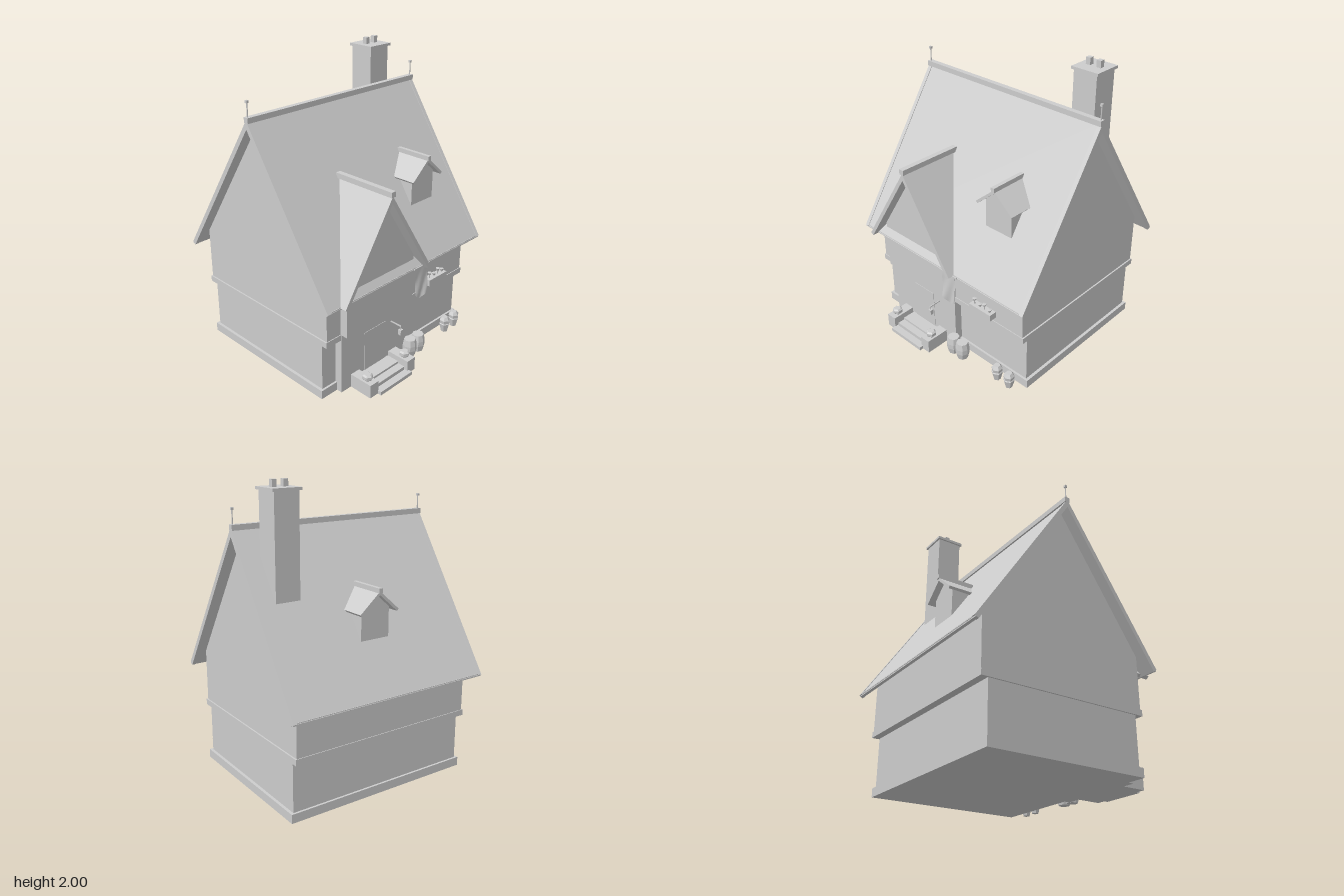
import * as THREE from 'three';

export function createModel() {
  const house = new THREE.Group();
  house.name = 'cottage';
  const grey = new THREE.MeshStandardMaterial({ color: 0xcccccc });
  grey.name = 'plain grey';
  const cloth = new THREE.MeshStandardMaterial({ color: 0xcccccc, side: THREE.DoubleSide });
  cloth.name = 'plain grey cloth';
  const RIDGE_Z = -0.055;

  const add = (name, geo, parent = house, mat = grey) => {
    const m = new THREE.Mesh(geo, mat);
    m.name = name;
    parent.add(m);
    return m;
  };
  // box given by its limits
  const box = (name, x0, x1, y0, y1, z0, z1, parent) =>
    add(name, new THREE.BoxGeometry(x1 - x0, y1 - y0, z1 - z0)
      .translate((x0 + x1) / 2, (y0 + y1) / 2, (z0 + z1) / 2), parent);
  // outline in x,y pushed from z0 to z1
  const prism = (name, pts, z0, z1, parent) => {
    const shape = new THREE.Shape(pts.map(p => new THREE.Vector2(p[0], p[1])));
    return add(name, new THREE.ExtrudeGeometry(shape, { depth: z1 - z0, bevelEnabled: false })
      .translate(0, 0, z0), parent);
  };
  // gable roof cross-section
  const chevron = (w, eave, apex, thick) => {
    const slope = (apex - eave) / w, a = Math.atan(slope);
    const ix = w - thick * Math.sin(a), iy = eave - thick * Math.cos(a);
    const inner = iy + slope * ix;
    return [[w, eave], [0, apex], [-w, eave], [-ix, iy], [0, inner], [ix, iy]];
  };
  const gable = (w, y0, y1, apex) => [[-w, y0], [w, y0], [w, y1], [0, apex], [-w, y1]];
  const lathe = (name, pts, sides, x, y, z, parent) => {
    const geo = new THREE.LatheGeometry(pts.map(p => new THREE.Vector2(p[0], p[1])), sides).toNonIndexed();
    geo.computeVertexNormals();
    const m = add(name, geo, parent);
    m.position.set(x, y, z);
    return m;
  };

  // main walls, centred on the ridge
  box('plinth', -0.68, 0.68, 0, 0.06, -0.605, 0.495);
  box('groundFloorWalls', -0.66, 0.66, 0.06, 0.39, -0.59, 0.48);
  box('floorBand', -0.67, 0.67, 0.39, 0.43, -0.64, 0.53);
  const main = new THREE.Group();
  main.name = 'mainUpperHouse';
  main.rotation.y = Math.PI / 2;
  main.position.z = RIDGE_Z;
  house.add(main);
  prism('upperWalls', gable(0.58, 0.43, 0.79, 1.67), -0.66, 0.66, main);

  // main roof with barge boards, eave boards, ridge and finials
  prism('mainRoof', chevron(0.67, 0.692, 1.705, 0.024), -0.71, 0.71, main);
  for (const s of [-1, 1]) {
    const x = s * 0.723;
    prism('bargeBoard', chevron(0.673, 0.694, 1.712, 0.03), x - 0.014, x + 0.014, main);
    box('eaveBoard', -0.737, 0.737, 0.683, 0.7,
      RIDGE_Z + s * 0.66 - 0.008, RIDGE_Z + s * 0.66 + 0.008);
    add('finialRod', new THREE.CylinderGeometry(0.004, 0.004, 0.1, 6)).position.set(x, 1.77, RIDGE_Z);
    add('finialKnob', new THREE.BoxGeometry(0.016, 0.016, 0.016)).position.set(x, 1.823, RIDGE_Z);
  }
  box('ridgeCap', -0.737, 0.737, 1.695, 1.73, RIDGE_Z - 0.018, RIDGE_Z + 0.018);

  // front wing
  const wing = new THREE.Group();
  wing.name = 'frontWing';
  wing.position.x = -0.24;
  house.add(wing);
  box('wingLowerWall', -0.305, 0.305, 0, 0.43, 0.4, 0.535, wing);
  prism('wingUpperWall', gable(0.305, 0.43, 0.78, 1.255), 0.4, 0.58, wing);
  prism('wingRoof', chevron(0.39, 0.695, 1.3, 0.026), 0.22, 0.655, wing);
  box('wingRidgeCap', -0.018, 0.018, 1.295, 1.33, 0.2, 0.66, wing);

  // dormers, one on each slope
  const dormer = (x, angle) => {
    const g = new THREE.Group();
    g.name = 'dormer';
    g.position.set(x, 0, RIDGE_Z);
    g.rotation.y = angle;
    house.add(g);
    prism('dormerWalls', gable(0.107, 1.0, 1.215, 1.305), 0.25, 0.457, g);
    prism('dormerRoof', chevron(0.148, 1.197, 1.325, 0.018), 0.255, 0.502, g);
    box('dormerRidgeCap', -0.013, 0.013, 1.315, 1.345, 0.245, 0.51, g);
  };
  dormer(0.345, 0);
  dormer(0, Math.PI);

  // chimney
  box('chimneyStack', 0.43, 0.6, 1.1, 1.94, -0.333, -0.16);
  box('chimneyCap', 0.417, 0.615, 1.937, 1.955, -0.345, -0.148);
  for (const x of [0.477, 0.555]) box('chimneyPot', x - 0.016, x + 0.016, 1.955, 2, -0.264, -0.232);

  // door, steps and piers with planters
  box('door', -0.34, -0.145, 0.06, 0.35, 0.53, 0.538);
  box('lowerStep', -0.39, -0.09, 0, 0.025, 0.53, 0.733);
  box('middleStep', -0.375, -0.11, 0, 0.05, 0.53, 0.683);
  box('doorSill', -0.375, -0.11, 0.05, 0.065, 0.53, 0.63);
  for (const s of [-1, 1]) {
    const x = -0.245 + s * 0.178;
    box('stepPier', x - 0.037, x + 0.037, 0, 0.095, 0.53, 0.705);
    lathe('pierPlanter', [[0, 0], [0.024, 0], [0.036, 0.012], [0.036, 0.033], [0.024, 0.042], [0, 0.042]],
      6, x, 0.095, 0.645);
  }

  // wall lantern
  box('lanternBracket', -0.088, -0.082, 0.318, 0.325, 0.535, 0.625);
  box('lanternHook', -0.087, -0.083, 0.295, 0.322, 0.618, 0.622);
  box('lantern', -0.097, -0.073, 0.26, 0.297, 0.608, 0.632);

  // barrels and urns along the front
  for (const x of [0.078, 0.163]) lathe('barrel',
    [[0, 0], [0.038, 0], [0.048, 0.045], [0.048, 0.08], [0.04, 0.125], [0, 0.125]], 8, x, 0, 0.57);
  for (const x of [0.477, 0.582]) lathe('urn',
    [[0, 0], [0.024, 0], [0.039, 0.062], [0.034, 0.068], [0.038, 0.092], [0.022, 0.115], [0, 0.115]], 6, x, 0, 0.56);

  // window box with flowers
  box('flowerBox', 0.25, 0.435, 0.465, 0.51, 0.52, 0.58);
  [0.277, 0.325, 0.365, 0.41].forEach((x, i) => {
    const top = i % 2 ? 0.525 : 0.545;
    box('flowerStem', x - 0.003, x + 0.003, 0.5, top, 0.553, 0.559);
    lathe('flower', [[0, -0.01], [0.007, -0.01], [0.015, 0.008], [0, 0.01]], 6, x, top, 0.556);
  });

  // rippled banner with a pointed foot
  box('bannerRod', 0.03, 0.185, 0.69, 0.698, 0.616, 0.624);
  const flag = new THREE.PlaneGeometry(0.118, 1, 8, 12);
  const p = flag.attributes.position;
  for (let i = 0; i < p.count; i++) {
    const x = p.getX(i), t = 0.5 - p.getY(i);
    const length = 0.245 - 0.045 * Math.abs(x) / 0.059;
    p.setXYZ(i, x + 0.107, 0.692 - t * length, 0.62 + 0.01 * t * Math.sin(x * 70 + t * 5));
  }
  flag.computeVertexNormals();
  add('banner', flag, house, cloth);

  return house;
}
